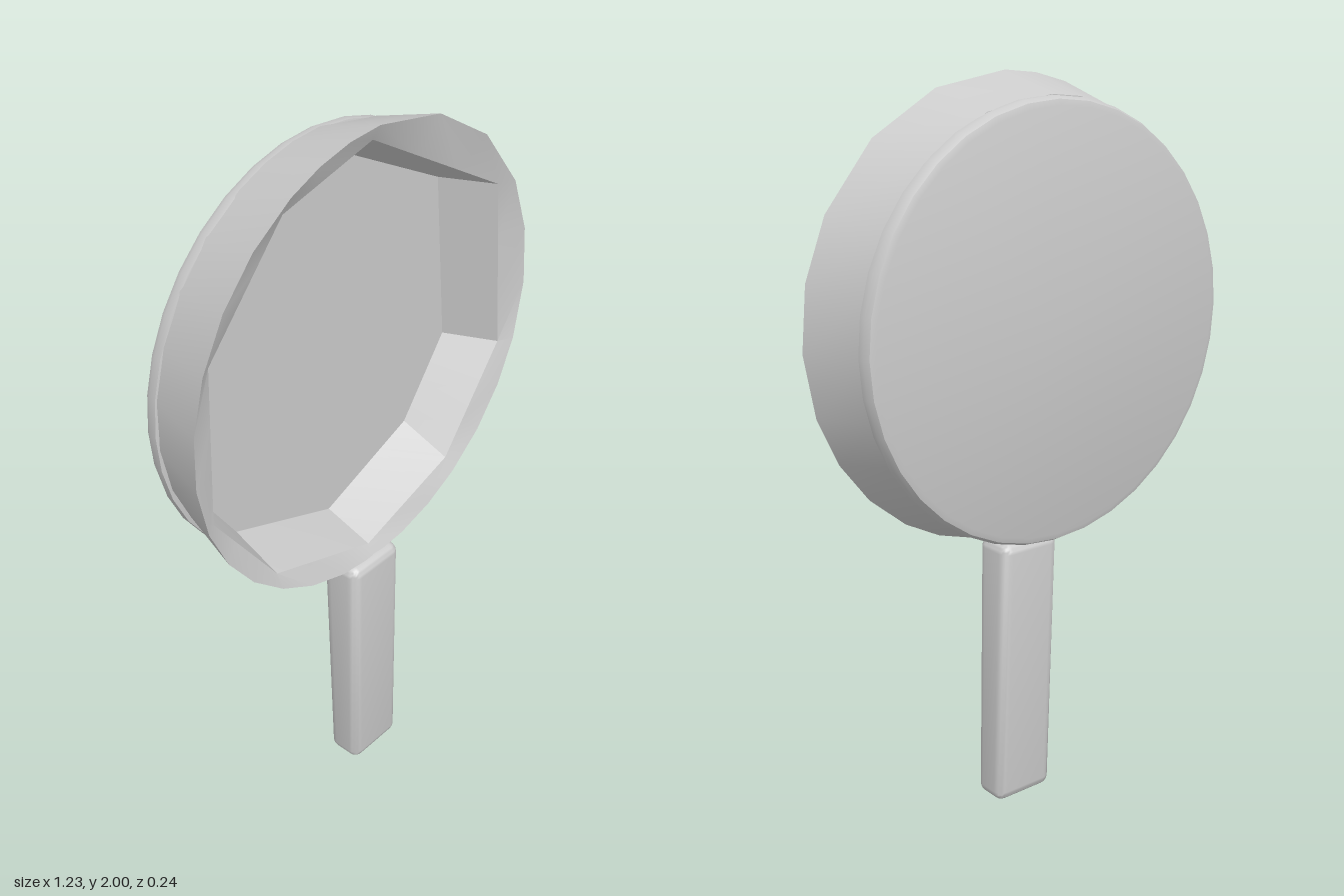
import * as THREE from 'three';
import { toCreasedNormals } from 'three/addons/utils/BufferGeometryUtils.js';
import { RoundedBoxGeometry } from 'three/addons/geometries/RoundedBoxGeometry.js';

const CY = 1.383; // height of the pan's centre
const RIM_R = 0.618, BASE_R = 0.565;
const FRONT = 0.097, FLOOR = -0.07, BACK = -0.085;

// Rim corners, counter-clockwise: outer angle in degrees, then x, y at the floor
const corners = [
  [-90, 0, 0.84], [-57, 0.32, 0.97], [-18, 0.48, 1.19],
  [29, 0.43, 1.68], [90, 0, 1.9], [118, -0.3, 1.82],
  [158, -0.48, 1.61], [198, -0.5, 1.19], [235, -0.35, 0.97],
];

function mesh(name, geometry) {
  const m = new THREE.Mesh(geometry, new THREE.MeshStandardMaterial({ color: 0xcccccc }));
  m.name = name;
  return m;
}

// Round flared outside, chunky nine-sided inside, closed by the cooking floor
function panGeometry() {
  const steps = 3;
  const rings = [];
  corners.forEach((c, i) => {
    const n = corners[(i + 1) % corners.length];
    const nextAngle = n[0] < c[0] ? n[0] + 360 : n[0];
    for (let s = 0; s < steps; s++) {
      const t = s / steps, mix = THREE.MathUtils.lerp;
      const a = THREE.MathUtils.degToRad(mix(c[0], nextAngle, t));
      const round = (r, z) => new THREE.Vector3(r * Math.cos(a), CY + r * Math.sin(a), z);
      const onCorner = (k) => {
        const g = THREE.MathUtils.degToRad(k[0]);
        return new THREE.Vector3(RIM_R * Math.cos(g), CY + RIM_R * Math.sin(g), FRONT);
      };
      const floor = new THREE.Vector3(mix(c[1], n[1], t), mix(c[2], n[2], t), FLOOR);
      // Crest runs straight between corners, partway from floor edge to outer rim
      const crest = onCorner(c).lerp(onCorner(n), t).lerp(floor, 0.4).setZ(0.075);
      rings.push([
        new THREE.Vector3(0, CY, BACK), round(BASE_R, BACK), round(RIM_R, FRONT),
        crest, floor, new THREE.Vector3(0, CY, FLOOR),
      ]);
    }
  });
  const pts = [], index = [], rows = rings[0].length;
  rings.forEach((ring, i) => {
    ring.forEach((p) => pts.push(p.x, p.y, p.z));
    const a = i * rows, b = ((i + 1) % rings.length) * rows;
    for (let j = 0; j < rows - 1; j++) {
      if (j > 0) index.push(a + j, b + j, a + j + 1);
      if (j < rows - 2) index.push(b + j, b + j + 1, a + j + 1);
      else continue;
    }
  });
  const g = new THREE.BufferGeometry();
  g.setAttribute('position', new THREE.Float32BufferAttribute(pts, 3));
  g.setIndex(index);
  return toCreasedNormals(g, 0.42);
}

// Rounded disc under the pan
function baseGeometry() {
  const profile = [[0, -0.12], [0.55, -0.12], [0.565, -0.115], [0.573, -0.1], [0.573, -0.08], [0.555, -0.075], [0, -0.075]]
    .map(([r, h]) => new THREE.Vector2(r, -h))
    .reverse();
  const g = new THREE.LatheGeometry(profile, 36);
  g.rotateX(-Math.PI / 2);
  g.translate(0, CY - 0.01, 0);
  return toCreasedNormals(g, 0.7);
}

// Rounded bar, leaning slightly and thicker towards the pan
function handleGeometry() {
  const g = new RoundedBoxGeometry(0.188, 0.77, 0.11, 3, 0.028);
  const p = g.attributes.position;
  for (let i = 0; i < p.count; i++) {
    const t = p.getY(i) / 0.77 + 0.5;
    const depth = p.getZ(i) / 0.11 + 0.5;
    p.setXYZ(i, p.getX(i) + 0.02 - 0.028 * t, t * 0.77, -0.005 + depth * (0.105 + 0.018 * t));
  }
  g.computeVertexNormals();
  return toCreasedNormals(g, 0.7);
}

export function createModel() {
  const group = new THREE.Group();
  group.name = 'fryingPan';
  group.add(mesh('pan', panGeometry()), mesh('base', baseGeometry()), mesh('handle', handleGeometry()));
  return group;
}
